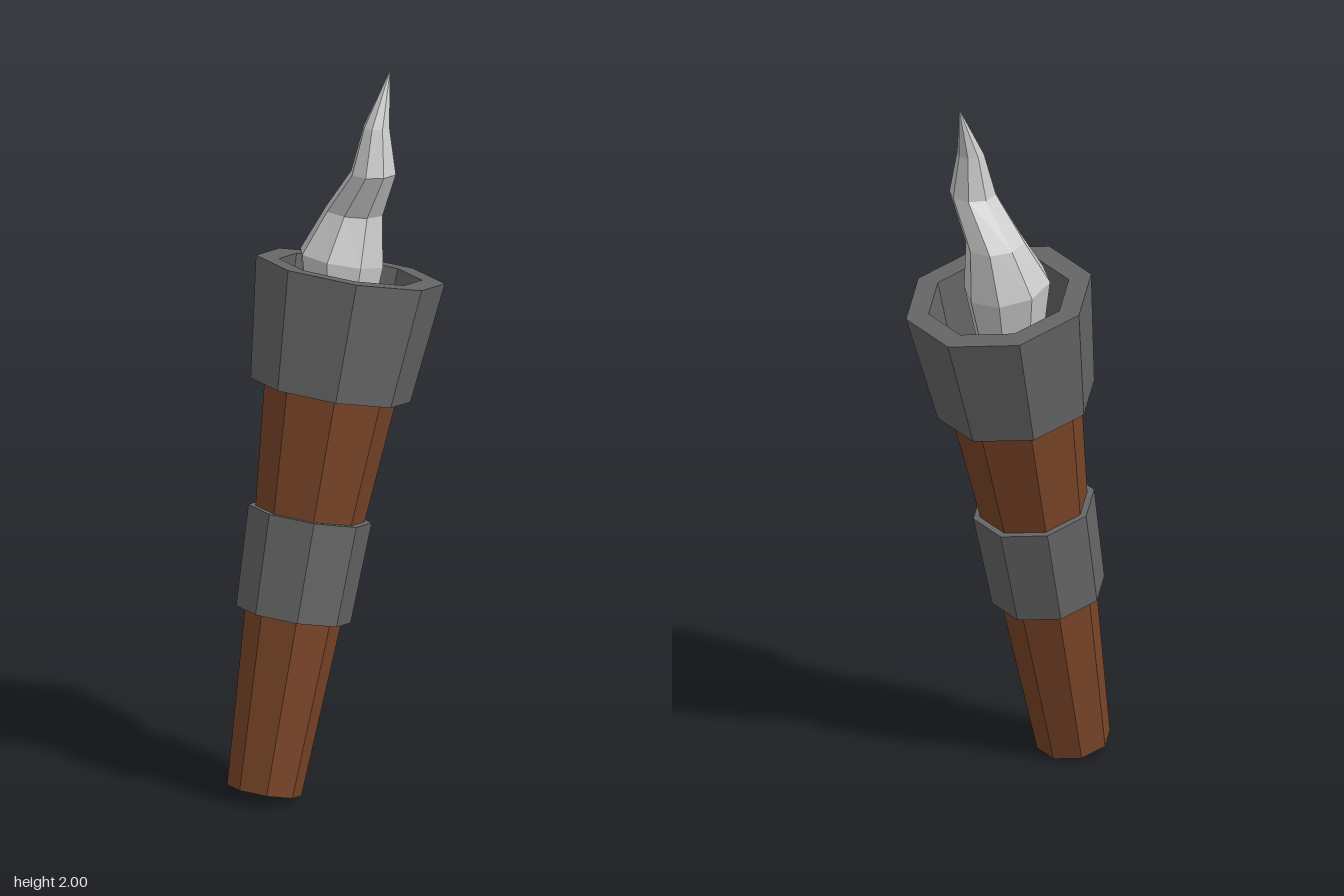
import * as THREE from 'three';

const SIDES = 8;
const mat = (color) => new THREE.MeshStandardMaterial({ color, flatShading: true });

// Eight-sided turned part; profile is [radius, height] pairs, bottom to top on the outside
function turned(name, profile, material, start = Math.PI / SIDES) {
  const points = profile.map(([r, y]) => new THREE.Vector2(r, y));
  const mesh = new THREE.Mesh(new THREE.LatheGeometry(points, SIDES, start), material);
  mesh.name = name;
  return mesh;
}

export function createModel() {
  const wood = mat(0x7a4528);
  const iron = mat(0x666666);
  const flameMaterial = mat(0xcccccc);

  const model = new THREE.Group();
  model.name = 'torch';

  // Leaning shaft: handle, band and cup share one axis
  const foot = new THREE.Vector3(-0.217, 0.025, 0.06);
  const head = new THREE.Vector3(0.07, 1.437, 0);
  const shaft = new THREE.Group();
  shaft.name = 'shaft';
  shaft.position.copy(foot);
  shaft.quaternion.setFromUnitVectors(
    new THREE.Vector3(0, 1, 0), head.clone().sub(foot).normalize());
  model.add(shaft);

  shaft.add(turned('handle',
    [[0, 0], [0.102, 0], [0.15, 0.77], [0.183, 1.13], [0, 1.13]], wood));
  shaft.add(turned('band',
    [[0.11, 0.487], [0.157, 0.487], [0.169, 0.766], [0.12, 0.766]], iron));
  // Hollow cup: underside, outer wall, rim, inner wall, floor
  shaft.add(turned('cup',
    [[0.15, 1.108], [0.219, 1.108], [0.259, 1.442], [0.196, 1.442], [0.184, 1.16], [0, 1.16]], iron));

  // Flame: rings of [centre x, centre y, centre z, radius, lean], ending in a point
  const rings = [
    [0.02, 1.17, 0.01, 0, 0.2],
    [0.02, 1.17, 0.01, 0.07, 0.2],
    [0.038, 1.38, -0.002, 0.103, 0.2],
    [0.047, 1.47, -0.007, 0.118, 0.2],
    [0.08, 1.6, 0.002, 0.081, 0.1],
    [0.102, 1.725, 0.077, 0.064, 0],
    [0.116, 1.85, 0.067, 0.037, 0],
    [0.165, 2.0, 0.05, 0, 0],
  ];
  const flame = turned('flame', rings.map(([, y, , r]) => [r, y]), flameMaterial, 0);
  const pos = flame.geometry.attributes.position;
  for (let i = 0; i < pos.count; i++) {
    const [cx, cy, cz, , lean] = rings[i % rings.length];
    const dx = pos.getX(i);
    pos.setXYZ(i, cx + dx, cy - lean * dx, cz + pos.getZ(i));
  }
  flame.geometry.computeVertexNormals();
  model.add(flame);

  return model;
}
